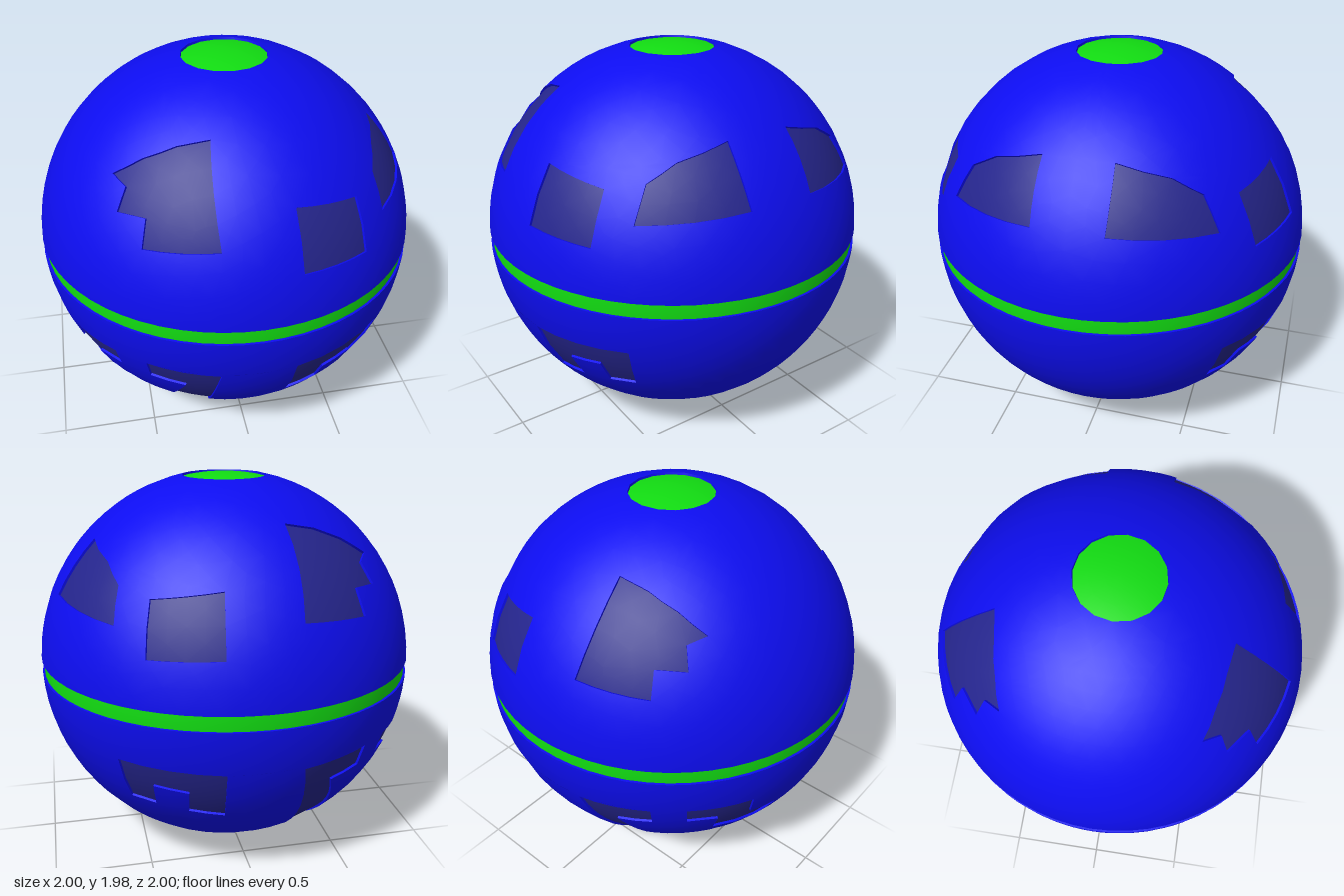
import * as THREE from 'three';

const DEPTH = 0.012;      // how far the inlays are sunk
const MAX_EDGE = 0.16;    // facet size of the shell
const BAND = 0.04;        // latitude of the equator groove
const CAP = Math.PI / 2 - 0.222; // latitude of the pole caps

const blue = new THREE.MeshStandardMaterial({ color: 0x0d0df0, side: THREE.DoubleSide });
const green = new THREE.MeshStandardMaterial({ color: 0x12dd12 });
const slate = new THREE.MeshStandardMaterial({ color: 0x25258c });

// Outlines as seen from the front [x, y] or from the side [z, y], relative to the centre
const UPPER = {
  notchedPanel: { pts: [[-.17, .81], [-.32, .78], [-.47, .72], [-.61, .635], [-.56, .61], [-.61, .51], [-.49, .52], [-.52, .395], [-.18, .42]] },
  squarePanel: { pts: [[.17, .565], [.49, .52], [.53, .27], [.19, .285]] },
  sidePanel: { side: true, pts: [[.17, .70], [.42, .635], [.56, .555], [.65, .39], [.175, .425]] },
};
const LOWER = {
  archPanel: { pts: [[.185, -.275], [.665, -.255], [.60, -.50], [.49, -.51], [.51, -.38], [.35, -.40], [.34, -.535], [.17, -.56]] },
  hookPanel: { pts: [[-.54, -.26], [-.19, -.28], [-.17, -.885], [-.335, -.87], [-.355, -.405], [-.52, -.38]] },
  zigzagPanel: { pts: [[-.875, -.265], [-.68, -.255], [-.655, -.37], [-.755, -.38], [-.70, -.51], [-.79, -.56], [-.878, -.43], [-.836, -.405]] },
};

// Outline point to (longitude, latitude)
function toChart({ pts, side }) {
  return pts.map(([a, y]) => {
    const b = Math.sqrt(Math.max(0, 1 - a * a - y * y));
    return new THREE.Vector2(side ? Math.atan2(a, b) : Math.atan2(b, a), Math.asin(y));
  });
}

function onSphere(p, r, mirror) {
  const c = Math.cos(p.y) * r;
  return new THREE.Vector3(c * Math.cos(p.x), Math.sin(p.y) * r, mirror * c * Math.sin(p.x));
}

const chord = (a, b) => onSphere(a, 1, 1).distanceTo(onSphere(b, 1, 1));
const middle = (a, b) => a.clone().add(b).multiplyScalar(0.5);

// Halve the longest edge until every triangle follows the sphere
function splitTriangle(a, b, c, out) {
  const ab = chord(a, b), bc = chord(b, c), ca = chord(c, a);
  const longest = Math.max(ab, bc, ca);
  if (longest < MAX_EDGE) {
    out.push([a, b, c]);
    return;
  }
  if (bc === longest) [a, b, c] = [b, c, a];
  else if (ca === longest) [a, b, c] = [c, a, b];
  const m = middle(a, b);
  splitTriangle(a, m, c, out);
  splitTriangle(m, b, c, out);
}

// Smooth piece of the sphere bounded by an outline with holes
function sphericalPatch(outline, holes, r, mirror) {
  const all = [outline, ...holes].flat();
  const tris = [];
  for (const [i, j, k] of THREE.ShapeUtils.triangulateShape(outline, holes)) {
    splitTriangle(all[i], all[j], all[k], tris);
  }
  const pos = [], nor = [];
  for (const tri of tris) {
    const v = tri.map((p) => onSphere(p, r, mirror));
    const n = v[1].clone().sub(v[0]).cross(v[2].clone().sub(v[0]));
    if (n.dot(v[0]) < 0) v.reverse();
    for (const p of v) {
      pos.push(p.x, p.y, p.z);
      nor.push(p.x / r, p.y / r, p.z / r);
    }
  }
  const g = new THREE.BufferGeometry();
  g.setAttribute('position', new THREE.Float32BufferAttribute(pos, 3));
  g.setAttribute('normal', new THREE.Float32BufferAttribute(nor, 3));
  return g;
}

// Walls of a recess, from the shell down to its floor
function recessWalls(outline, mirror) {
  const pos = [];
  const wall = (a, b) => {
    if (chord(a, b) >= MAX_EDGE) {
      const m = middle(a, b);
      wall(a, m);
      wall(m, b);
      return;
    }
    const [p, q] = [a, b].map((v) => onSphere(v, 1, mirror));
    const [s, t] = [a, b].map((v) => onSphere(v, 1 - DEPTH, mirror));
    const order = mirror > 0 ? [p, s, q, q, s, t] : [p, q, s, q, t, s];
    for (const v of order) pos.push(v.x, v.y, v.z);
  };
  outline.forEach((p, i) => wall(p, outline[(i + 1) % outline.length]));
  const g = new THREE.BufferGeometry();
  g.setAttribute('position', new THREE.Float32BufferAttribute(pos, 3));
  g.computeVertexNormals();
  return g;
}

export function createModel() {
  const model = new THREE.Group();
  const ball = new THREE.Group();
  ball.name = 'ball';
  ball.position.y = 1;
  model.add(ball);

  const add = (name, geometry, material) => {
    const mesh = new THREE.Mesh(geometry, material);
    mesh.name = name;
    ball.add(mesh);
    return mesh;
  };

  // Blue shell in four quarters, each with sunken panels
  for (const mirror of [1, -1]) {
    const half = mirror > 0 ? 'Front' : 'Back';
    for (const [panels, low, high, level] of [[UPPER, BAND, CAP, 'upper'], [LOWER, -CAP, -BAND, 'lower']]) {
      const frame = [[0, low], [Math.PI, low], [Math.PI, high], [0, high]].map(([x, y]) => new THREE.Vector2(x, y));
      const holes = Object.values(panels).map(toChart);
      add(`${level}${half}Shell`, sphericalPatch(frame, holes, 1, mirror), blue);
      Object.keys(panels).forEach((name, i) => {
        add(name + half, sphericalPatch(holes[i], [], 1 - DEPTH, mirror), slate);
        add(`${name}${half}Walls`, recessWalls(holes[i], mirror), blue);
      });
    }
  }

  // Green equator band, sunk into its groove
  const r = 1 - DEPTH;
  add('equatorBand', new THREE.SphereGeometry(r, 64, 2, 0, Math.PI * 2, Math.PI / 2 - BAND, BAND * 2), green);

  // Green caps at both poles
  for (const s of [1, -1]) {
    const start = s > 0 ? 0 : Math.PI / 2 + CAP;
    add(s > 0 ? 'topCap' : 'bottomCap', new THREE.SphereGeometry(r, 16, 3, 0, Math.PI * 2, start, Math.PI / 2 - CAP), green);
  }

  // Blue ledges around the band and the caps
  for (const [lat, sides] of [[BAND, 64], [-BAND, 64], [CAP, 16], [-CAP, 16]]) {
    const profile = [r, 1].map((k) => new THREE.Vector2(k * Math.cos(lat), k * Math.sin(lat)));
    add('grooveLedge', new THREE.LatheGeometry(profile, sides), blue);
  }

  return model;
}
